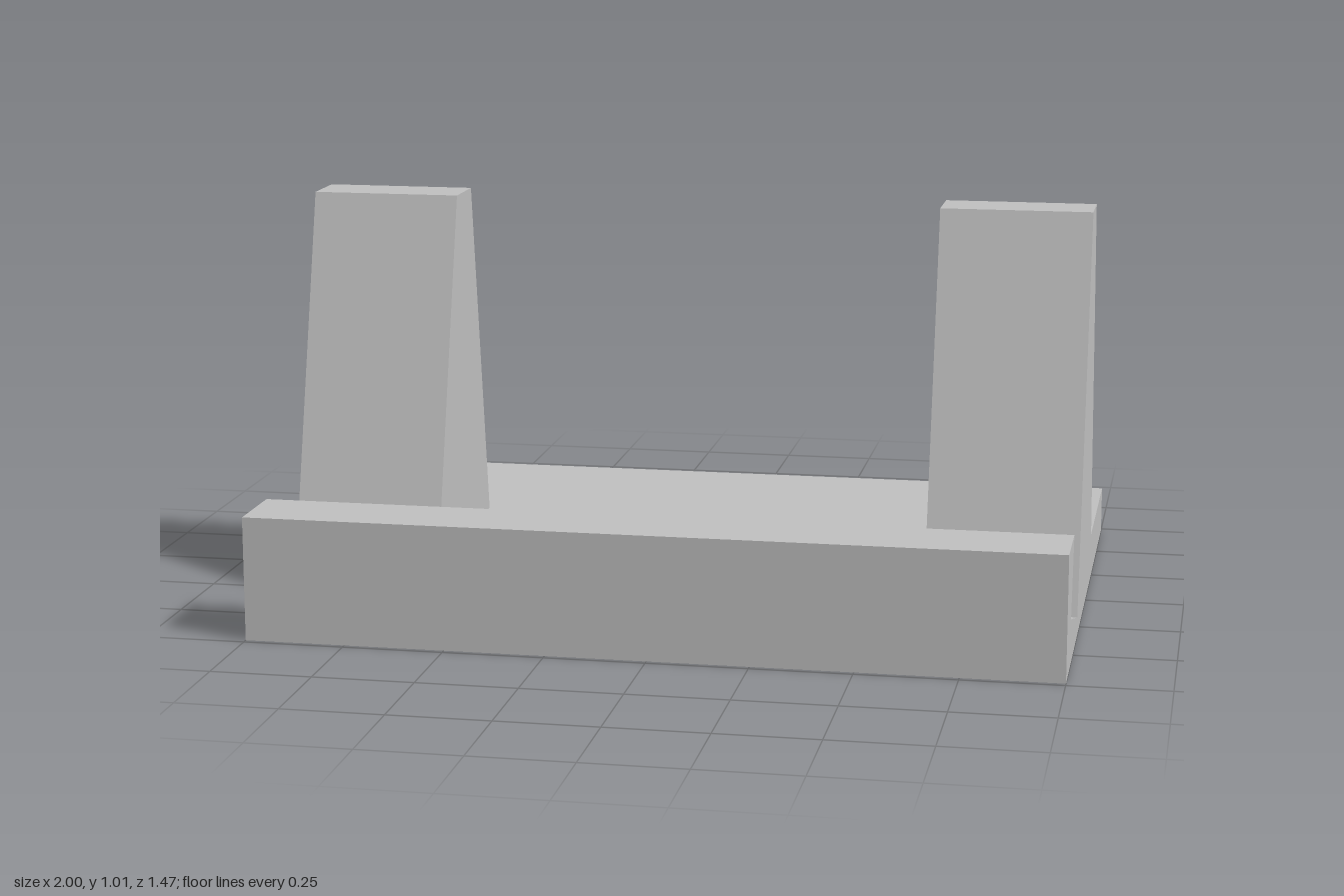
import * as THREE from 'three';

// Extrudes a [z, y] side profile across the width, from x0 to x1.
function acrossWidth(profile, x0, x1) {
  const shape = new THREE.Shape(profile.map(([z, y]) => new THREE.Vector2(z, y)));
  const geometry = new THREE.ExtrudeGeometry(shape, { depth: x1 - x0, bevelEnabled: false });
  geometry.rotateY(-Math.PI / 2);
  geometry.translate(x1, 0, 0);
  return geometry;
}

export function createModel() {
  const group = new THREE.Group();
  group.name = 'deviceStand';
  const grey = new THREE.MeshStandardMaterial({ name: 'grey', color: 0xbfbfbf });

  const add = (name, profile, x0, x1) => {
    const mesh = new THREE.Mesh(acrossWidth(profile, x0, x1), grey);
    mesh.name = name;
    group.add(mesh);
  };

  // Corners of the low ridge behind the groove, shared with the uprights
  const ridgeFront = [0.295, 0.2];
  const ridgeBack = [0.22, 0.18];
  const ridgeFoot = [0.236, 0.12];

  // Base plate with front lip, tilted groove and ridge
  add('base', [
    [-0.735, 0], [0.735, 0], [0.735, 0.31], [0.545, 0.31], [0.597, 0.117],
    [0.335, 0.048], ridgeFront, ridgeBack, ridgeFoot, [-0.735, 0.12],
  ], -1, 1);

  // Tapered back supports, standing on the base and ridge
  const support = [
    [-0.213, 0.12], ridgeFoot, ridgeBack, ridgeFront, [0.078, 1.015], [-0.065, 1.015],
  ];
  add('leftSupport', support, 0.62, 1);
  add('rightSupport', support, -1, -0.623);

  return group;
}
